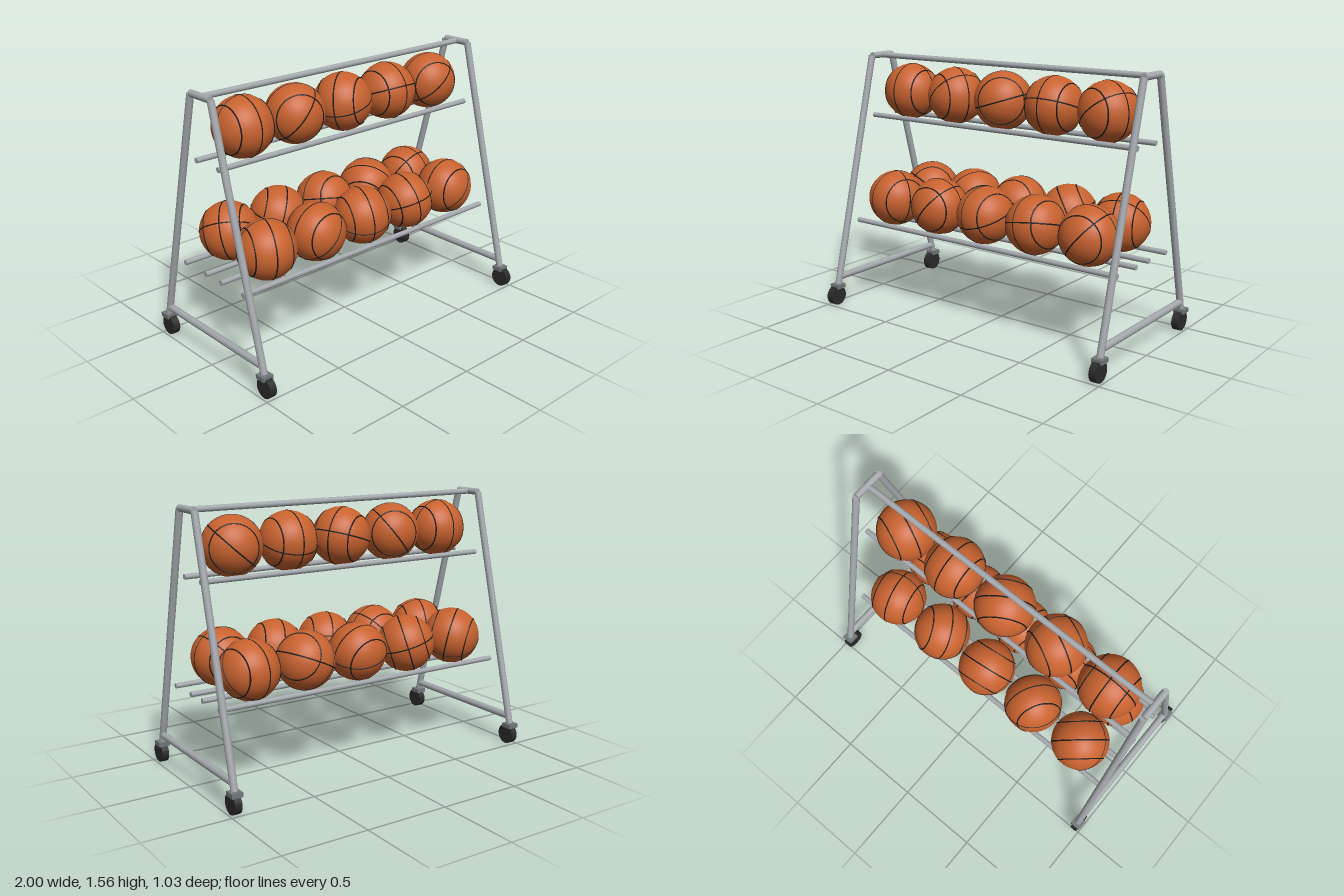
import * as THREE from 'three';

const mat = (name, color) => {
  const m = new THREE.MeshStandardMaterial({ color });
  m.name = name;
  return m;
};

export function createModel() {
  const steel = mat('steel tube', 0xa5a9ae);
  const bracket = mat('caster bracket', 0x72777b);
  const rubber = mat('wheel rubber', 0x2b2b2b);
  const leather = mat('orange leather', 0xc8622f);
  const seamInk = mat('black seam', 0x1a1a1a);
  const root = new THREE.Group();
  root.name = 'ballRack';

  const V = (x, y, z) => new THREE.Vector3(x, y, z);
  const Z0 = -0.016; // middle plane of the frame
  const X0 = 0.966; // end frames

  const add = (parent, name, geometry, material, x = 0, y = 0, z = 0) => {
    const m = new THREE.Mesh(geometry, material);
    m.name = name;
    m.position.set(x, y, z);
    parent.add(m);
    return m;
  };

  // straight round tube between two points
  const tube = (parent, name, a, b, r, sides = 16) => {
    const m = add(parent, name, new THREE.CylinderGeometry(r, r, a.distanceTo(b), sides), steel);
    m.position.copy(a).add(b).multiplyScalar(0.5);
    m.quaternion.setFromUnitVectors(V(0, 1, 0), b.clone().sub(a).normalize());
    return m;
  };

  // A-shaped end frames on casters
  for (const side of [-1, 1]) {
    const frame = new THREE.Group();
    frame.name = side > 0 ? 'leftEndFrame' : 'rightEndFrame';
    frame.position.x = side * X0;
    root.add(frame);
    tube(frame, 'topCap', V(0, 1.539, Z0 + 0.087), V(0, 1.539, Z0 - 0.087), 0.02);
    tube(frame, 'lowerCrossbar', V(0, 0.173, Z0 + 0.43), V(0, 0.173, Z0 - 0.43), 0.021);
    for (const s of [-1, 1]) {
      tube(frame, 'leg', V(0, 0.13, Z0 + s * 0.452), V(0, 1.537, Z0 + s * 0.09), 0.0205);
      const caster = new THREE.Group();
      caster.name = 'caster';
      caster.position.z = Z0 + s * 0.456;
      frame.add(caster);
      add(caster, 'casterBracket', new THREE.BoxGeometry(0.066, 0.026, 0.066), bracket, 0, 0.117, 0);
      const wheel = add(caster, 'wheel', new THREE.CylinderGeometry(0.059, 0.059, 0.042, 24), rubber, 0, 0.059, 0.016);
      wheel.rotation.z = Math.PI / 2;
    }
  }

  // top rail and pairs of carrying rods
  tube(root, 'topRail', V(-X0, 1.537, Z0), V(X0, 1.537, Z0), 0.017);
  const rowZ = { top: Z0, front: Z0 + 0.17, back: Z0 - 0.17 };
  const rowY = { top: 1.328, front: 0.674, back: 0.674 };
  for (const row of Object.keys(rowZ)) {
    for (const s of [-1, 1]) {
      const y = rowY[row] - 0.161, z = rowZ[row] + s * 0.099;
      tube(root, row + 'Rod', V(-0.95, y, z), V(0.95, y, z), 0.0155, 12);
    }
  }

  // balls: a sphere with two great circles and two smaller parallel rings
  const R = 0.17;
  const ballGeo = new THREE.SphereGeometry(R, 36, 24);
  const ring = (d) => new THREE.TorusGeometry((R - 0.0025) * Math.sqrt(1 - d * d), 0.0045, 6, 48);
  const greatRing = ring(0), smallRing = ring(0.62);
  const ball = (name, position, axis, normal) => {
    const g = new THREE.Group();
    g.name = name;
    g.position.copy(position);
    const a = axis.clone().normalize();
    const n = normal.clone().addScaledVector(a, -normal.dot(a)).normalize();
    g.quaternion.setFromRotationMatrix(new THREE.Matrix4().makeBasis(n, a.clone().cross(n), a));
    add(g, 'ballSkin', ballGeo, leather);
    add(g, 'middleSeam', greatRing, seamInk);
    add(g, 'crossSeam', greatRing, seamInk).rotation.y = Math.PI / 2;
    for (const s of [-1, 1]) add(g, 'sideSeam', smallRing, seamInk, 0, 0, s * R * 0.62);
    root.add(g);
  };

  // seam axis and cross-seam normal of each ball, from right to left
  const turns = {
    top: [
      [V(1, 0, 0), V(0, 0.1, 1)],
      [V(-0.4, 0, 0.9), V(0.75, -0.65, 0.3)],
      [V(0.5, 0.1, 0.85), V(-0.2, 0.95, 0.2)],
      [V(1, 0, 0), V(0, 0.94, -0.35)],
      [V(-0.35, 0, 0.93), V(0.65, -0.75, 0.2)],
    ],
    front: [
      [V(0.95, 0, 0.3), V(-0.3, 0.1, 0.95)],
      [V(0.05, 0, 1), V(0.77, -0.64, 0)],
      [V(0.92, 0.1, 0.3), V(0, 0.94, 0.35)],
      [V(0.95, 0.2, 0.2), V(-0.2, 0.95, -0.3)],
      [V(0.05, 0, 1), V(0.77, -0.64, 0)],
    ],
    back: [
      [V(0.6, 0.2, 0.7), V(0.5, 0.8, -0.3)],
      [V(0.8, -0.3, 0.5), V(0.3, 0.9, 0.2)],
      [V(0.1, 0.3, 0.95), V(0.2, 0.9, -0.3)],
      [V(0.7, 0.4, -0.5), V(-0.5, 0.8, 0.2)],
      [V(0.95, 0, -0.2), V(0, 0.5, -0.85)],
    ],
  };
  for (const row of Object.keys(turns)) {
    turns[row].forEach(([axis, normal], i) =>
      ball(row + 'Ball' + (i + 1), V((i - 2) * 0.355, rowY[row], rowZ[row]), axis, normal));
  }
  return root;
}
